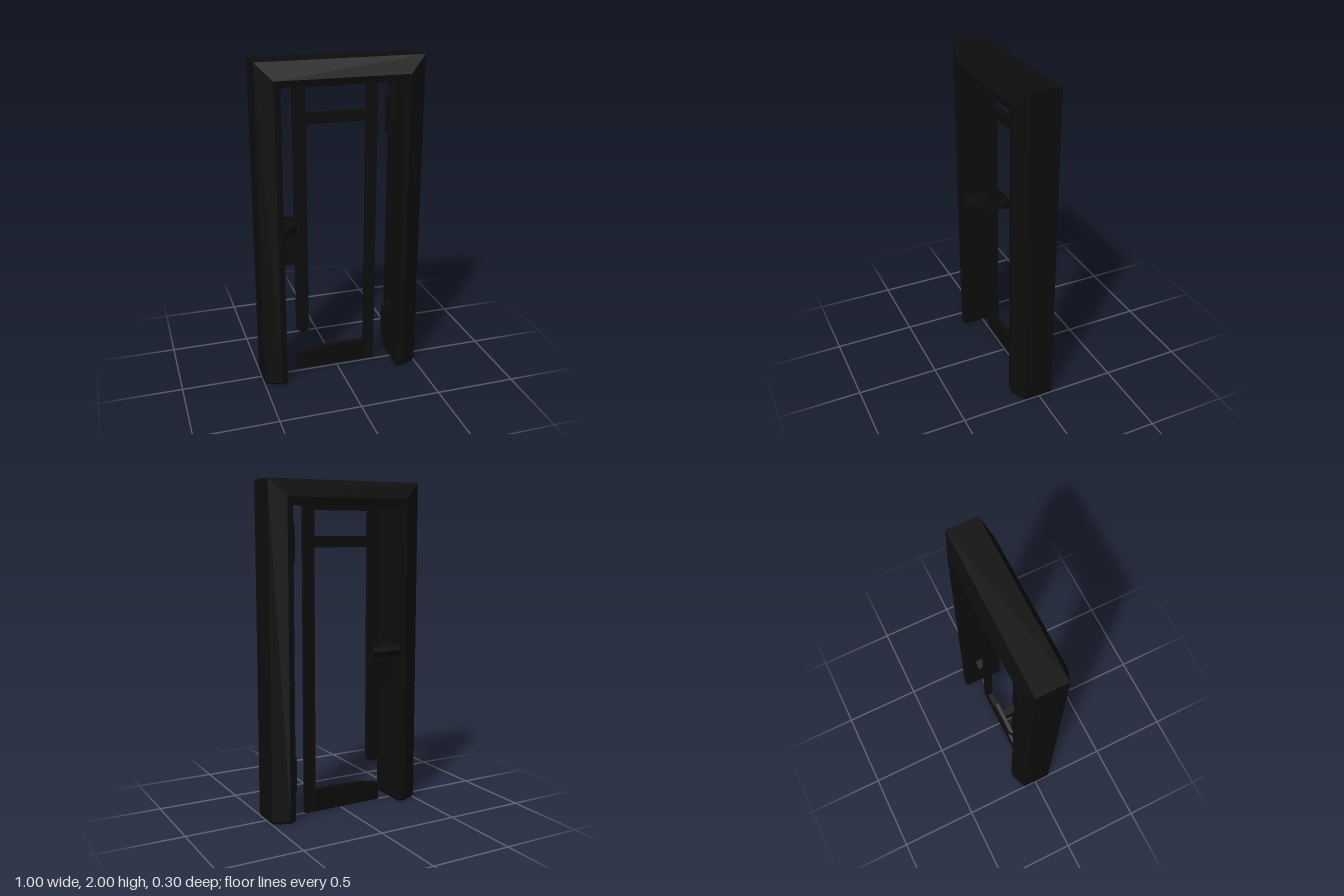
import * as THREE from 'three';

const black = new THREE.MeshStandardMaterial({ color: 0x0d0d0d });
black.name = 'charred black';

// Chamfered section swept up one post, across the lintel and down the other
function frameGeometry() {
  // [inset from outer edge, z]
  const section = [[0, -0.085], [0, 0.1], [0.1, 0.145], [0.138, 0.14], [0.138, -0.12], [0.1, -0.127]];
  const n = section.length;
  const shrink = ([d, z]) => [0.07 + (d - 0.07) * 0.88, 0.01 + (z - 0.01) * 0.93];
  const rings = [
    (p) => { const [d, z] = shrink(p); return [-0.5 + d, 0.003, z]; },
    ([d, z]) => [-0.5 + d, 0.018, z],
    ([d, z]) => [-0.5 + d, 2 - d, z],
    ([d, z]) => [0.5 - d, 2 - d, z],
    ([d, z]) => [0.5 - d, 0.018, z],
    (p) => { const [d, z] = shrink(p); return [0.5 - d, 0, z]; },
  ];
  const position = rings.flatMap((ring) => section.flatMap(ring));
  const index = [];
  for (let k = 0; k < rings.length - 1; k++) {
    for (let j = 0; j < n; j++) {
      const a = k * n + j, b = k * n + (j + 1) % n;
      index.push(a, b, a + n, b, b + n, a + n);
    }
  }
  const last = (rings.length - 1) * n;
  for (let j = 1; j < n - 1; j++) {
    index.push(0, j + 1, j, last, last + j, last + j + 1);
  }
  const indexed = new THREE.BufferGeometry();
  indexed.setAttribute('position', new THREE.Float32BufferAttribute(position, 3));
  indexed.setIndex(index);
  const geometry = indexed.toNonIndexed();
  geometry.computeVertexNormals();
  return geometry;
}

// Flat piece outlined in x and y, filling z0 to z1
function slab(points, z0, z1) {
  const shape = new THREE.Shape(points.map(([x, y]) => new THREE.Vector2(x, y)));
  return new THREE.ExtrudeGeometry(shape, { depth: z1 - z0, bevelEnabled: false }).translate(0, 0, z0);
}

const bar = (x0, x1, y0, y1) => [[x0, y0], [x1, y0], [x1, y1], [x0, y1]];

export function createModel() {
  const model = new THREE.Group();
  model.name = 'brokenDoor';
  const add = (parent, name, geometry) => {
    const mesh = new THREE.Mesh(geometry, black);
    mesh.name = name;
    parent.add(mesh);
    return mesh;
  };

  add(model, 'doorFrame', frameGeometry());

  // Remains of the door leaf
  const door = new THREE.Group();
  door.name = 'doorLeaf';
  model.add(door);
  const pieces = {
    brokenStile: [[-0.26, 0.31], [-0.238, 0.27], [-0.19, 0.28], [-0.185, 0.31], [-0.185, 1.87], [-0.26, 1.87]],
    hingeStile: bar(0.187, 0.252, 0.01, 1.87),
    topRail: bar(-0.19, 0.19, 1.83, 1.87),
    upperRail: bar(-0.19, 0.19, 1.615, 1.68),
    bottomRail: [[-0.262, 0.012], [0.19, 0.01], [0.19, 0.147], [-0.13, 0.147], [-0.262, 0.122]],
    cornerSplinter: [[0.25, 1.85], [0.29, 1.87], [0.25, 1.87]],
  };
  for (const [name, points] of Object.entries(pieces)) add(door, name, slab(points, -0.036, 0));

  // Jagged strips left at the hinges
  for (const [name, y0, y1, slope] of [['upperHingeStrip', 1.49, 1.84, 0.09], ['lowerHingeStrip', 0.13, 0.42, 0.05]]) {
    add(model, name, slab([[0.37, y0], [0.37, y1], [0.315, y1 - slope], [0.315, y0 + 0.03]], -0.04, 0.01));
  }

  // Lock and handles
  const lock = new THREE.Group();
  lock.name = 'lock';
  model.add(lock);
  add(lock, 'lockBody', slab([[-0.37, 0.75], [-0.25, 0.75], [-0.25, 0.95], [-0.2, 0.955], [-0.22, 1.0], [-0.37, 1.02]], -0.04, 0.005));
  const wedge = slab([[-0.37, -0.13], [-0.27, -0.04], [-0.24, 0.03], [-0.37, 0.08]], 0.96, 1.02);
  add(lock, 'frontWedge', wedge.rotateX(-Math.PI / 2));

  // Diamond-backed lever behind the frame, tapering toward the post
  const lever = new THREE.Shape([[-0.115, 1.02], [-0.115, 0.95], [-0.135, 0.955], [-0.15, 0.985], [-0.135, 1.01]]
    .map(([z, y]) => new THREE.Vector2(-z, y)));
  const leverGeometry = new THREE.ExtrudeGeometry(lever, { depth: 0.215, bevelEnabled: false });
  const p = leverGeometry.attributes.position;
  for (let i = 0; i < p.count; i++) {
    if (p.getX(i) > 0.13) p.setZ(i, Math.max(p.getZ(i), 0.03));
  }
  leverGeometry.rotateY(Math.PI / 2).translate(-0.37, 0, 0);
  leverGeometry.computeVertexNormals();
  add(lock, 'backLever', leverGeometry);
  add(lock, 'leverShank', new THREE.BoxGeometry(0.04, 0.05, 0.1).translate(-0.225, 0.98, -0.08));

  return model;
}
